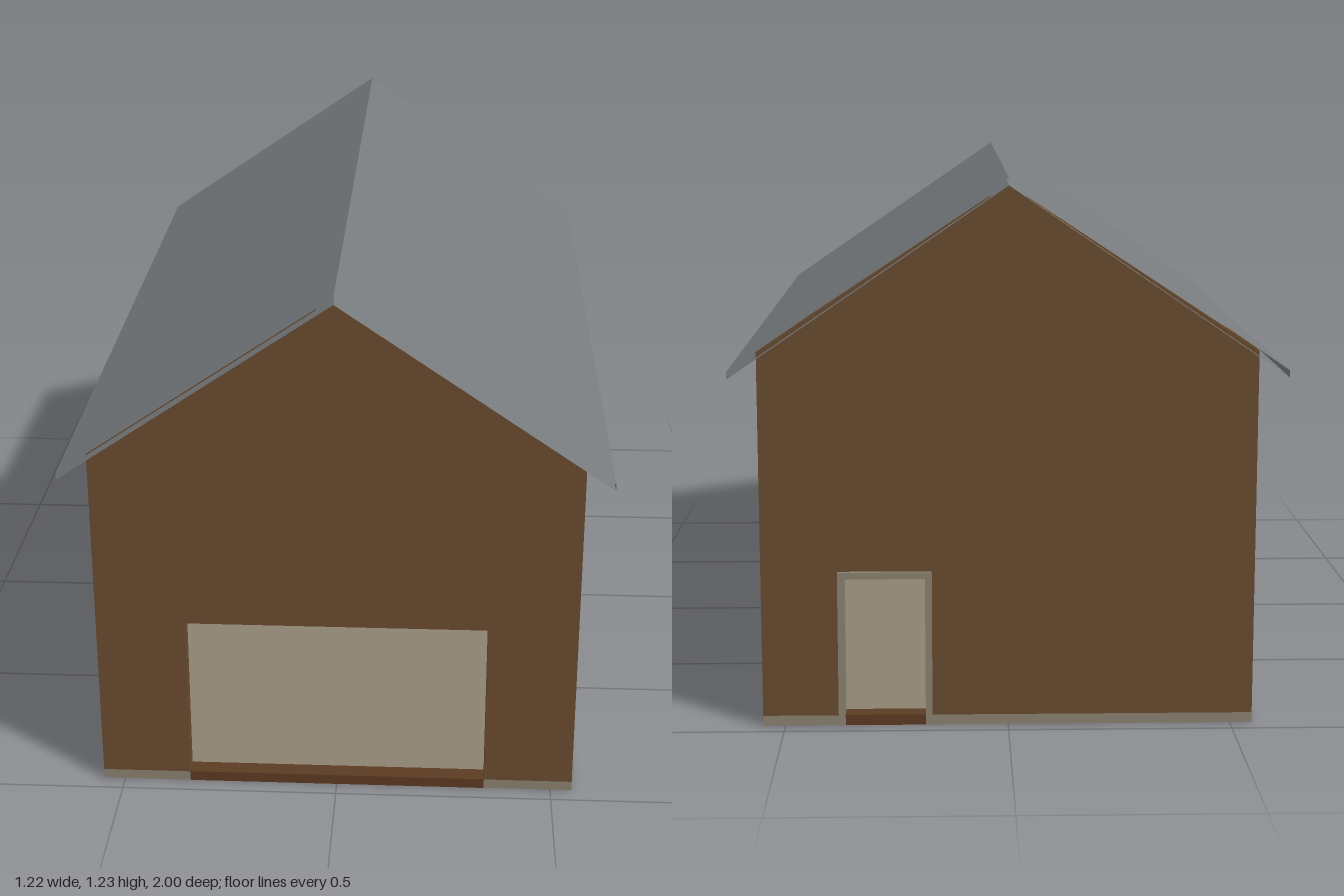
import * as THREE from 'three';

const HALF_W = 0.55, HALF_L = 0.96, THICK = 0.04;
const BASE = 0.023, EAVE = 0.8485, APEX = 1.21;

export function createModel() {
  const root = new THREE.Group();
  root.name = 'barn';

  const mat = (name, hex, side = THREE.FrontSide) => {
    const m = new THREE.MeshStandardMaterial({ color: hex, side });
    m.name = name;
    return m;
  };
  const wood = mat('brown wood', 0x6a4c30);
  const sillWood = mat('dark threshold wood', 0x5c3b22);
  const stone = mat('beige stone', 0x8c8271);
  const glass = mat('blue glass', 0x7a97a5);
  const roofing = mat('grey roofing', 0x787b7e, THREE.DoubleSide);

  const add = (parent, name, geo, material, x = 0, y = 0, z = 0) => {
    const m = new THREE.Mesh(geo, material);
    m.name = name;
    m.position.set(x, y, z);
    parent.add(m);
    return m;
  };
  const box = (w, h, d) => new THREE.BoxGeometry(w, h, d);
  const extrude = (shape, depth) => new THREE.ExtrudeGeometry(shape, { depth, bevelEnabled: false });

  // Wall in its own frame: u runs along it, y is up, +z faces outwards.
  // The doorway is a notch in the lower edge, the windows are holes.
  function wall(name, { half, top, dist, turn, door, windows = [] }) {
    const g = new THREE.Group();
    g.name = name;
    g.rotation.y = turn;
    root.add(g);

    const pts = [[-half, BASE]];
    if (door) {
      const { u, w, h } = door;
      pts.push([u - w / 2, BASE], [u - w / 2, h], [u + w / 2, h], [u + w / 2, BASE]);
    }
    pts.push([half, BASE], ...top);
    const shape = new THREE.Shape(pts.map(p => new THREE.Vector2(...p)));
    const s = 0.0685;
    for (const [u, y] of windows) {
      shape.holes.push(new THREE.Path([[-s, -s], [-s, s], [s, s], [s, -s]]
        .map(([a, b]) => new THREE.Vector2(u + a, y + b))));
      add(g, 'windowPane', box(2 * s, 2 * s, 0.008), glass, u, y, dist - THICK / 2);
    }
    add(g, name + 'Panel', extrude(shape, THICK), wood, 0, 0, dist - THICK);

    if (door) {
      const { u, w, h, frame } = door;
      // Threshold lies over the floor inside the opening
      const clear = w - (frame ? 2 * frame : 0);
      add(g, 'threshold', box(clear, BASE + 0.001, THICK + 0.001), sillWood,
        u, (BASE + 0.001) / 2, dist - THICK / 2 + 0.0005);
      if (frame) {
        const o = w / 2, i = o - frame;
        const f = new THREE.Shape([[-o, BASE], [-i, BASE], [-i, h - frame], [i, h - frame],
          [i, BASE], [o, BASE], [o, h], [-o, h]].map(p => new THREE.Vector2(...p)));
        add(g, 'doorFrame', extrude(f, THICK + 0.01), stone, u, 0, dist - THICK);
      }
    }
  }

  // Floor slab and attic floor
  add(root, 'floorSlab', box(2 * HALF_W, BASE, 2 * HALF_L), stone, 0, BASE / 2, 0);
  add(root, 'atticFloor', box(2 * (HALF_W - THICK), 0.015, 2 * (HALF_L - THICK)), stone, 0, 0.832, 0);

  // Gable walls
  const gable = [[HALF_W, EAVE], [0, APEX], [-HALF_W, EAVE]];
  wall('frontWall', { half: HALF_W, top: gable, dist: HALF_L, turn: 0,
    door: { u: 0, w: 0.69, h: 0.42 } });
  wall('backWall', { half: HALF_W, top: gable, dist: HALF_L, turn: Math.PI,
    door: { u: -0.275, w: 0.21, h: 0.355, frame: 0.015 } });

  // Long walls with two rows of windows
  const windows = [];
  for (const y of [0.234, 0.645]) for (const u of [-0.62, -0.207, 0.207, 0.62]) windows.push([u, y]);
  const sideHalf = HALF_L - THICK;
  const sideTop = [[sideHalf, EAVE], [-sideHalf, EAVE]];
  wall('leftWall', { half: sideHalf, top: sideTop, dist: HALF_W, turn: Math.PI / 2, windows });
  wall('rightWall', { half: sideHalf, top: sideTop, dist: HALF_W, turn: -Math.PI / 2, windows,
    door: { u: -0.412, w: 0.21, h: 0.355, frame: 0.015 } });

  // Roof: upper and lower sheets joined by fascias, open at the gable ends
  const sheet = (name, [x0, y0], [x1, y1], material) => {
    const geo = new THREE.PlaneGeometry(1, 2);
    const p = geo.attributes.position;
    for (let i = 0; i < p.count; i++) {
      const t = p.getX(i) + 0.5;
      p.setXYZ(i, x0 + (x1 - x0) * t, y0 + (y1 - y0) * t, -p.getY(i));
    }
    geo.computeVertexNormals();
    add(root, name, geo, material);
  };
  const R = 0.611;
  sheet('roofRight', [-R, 0.81], [0, 1.227], roofing);
  sheet('roofLeft', [0, 1.227], [R, 0.81], roofing);
  sheet('roofUndersideRight', [0, 1.211], [-R, 0.794], roofing);
  sheet('roofUndersideLeft', [R, 0.794], [0, 1.211], roofing);
  sheet('fasciaRight', [-R, 0.794], [-R, 0.81], roofing);
  sheet('fasciaLeft', [R, 0.81], [R, 0.794], roofing);

  return root;
}
